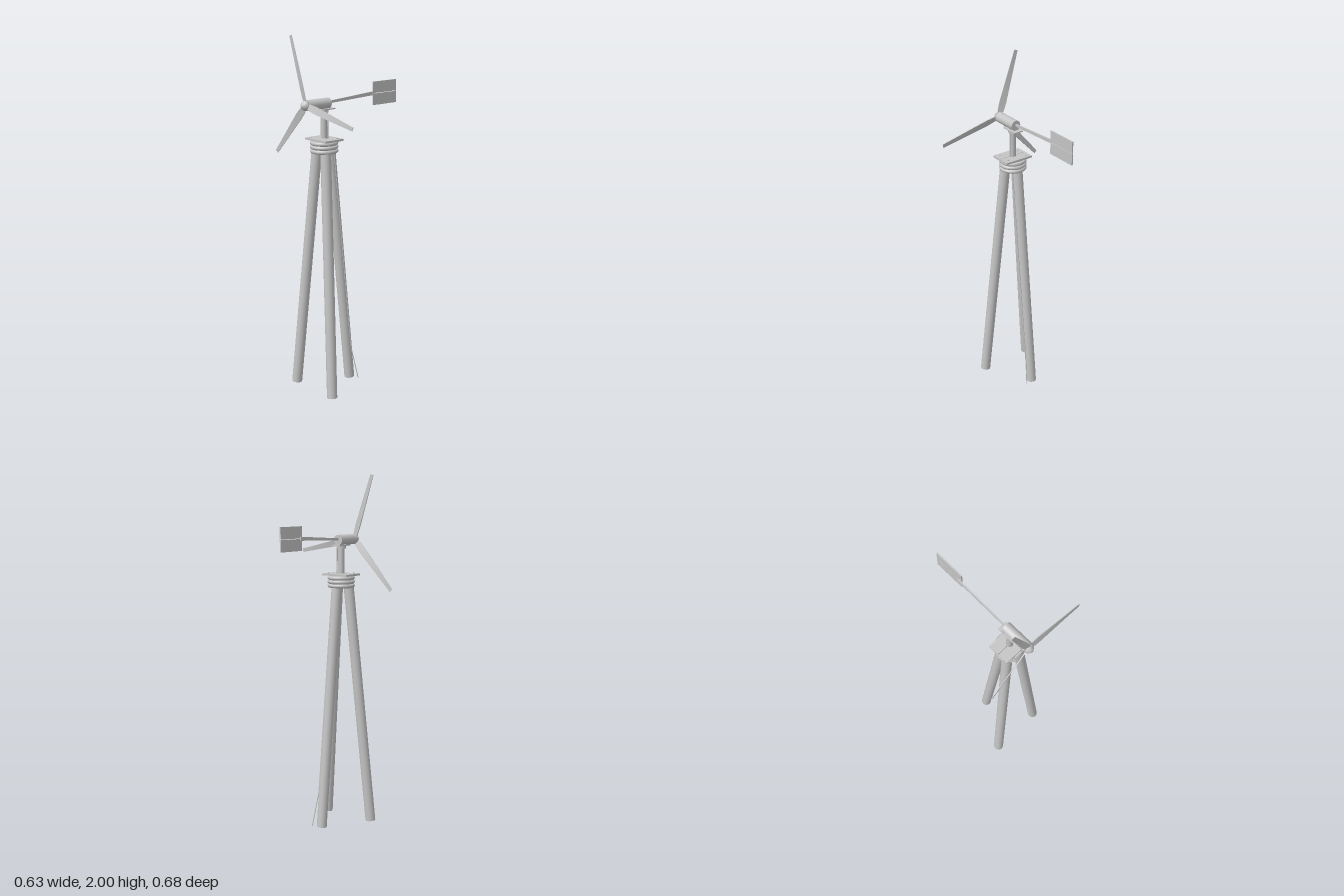
import * as THREE from 'three';

const CX = -0.057, CZ = 0.187, HUB_Y = 1.634;

export function createModel() {
  const model = new THREE.Group();
  model.name = 'windTurbine';
  const grey = new THREE.MeshStandardMaterial({ color: 0xc4c4c4 });
  grey.name = 'grey';

  const add = (name, geometry, x = 0, y = 0, z = 0, parent = model) => {
    const mesh = new THREE.Mesh(geometry, grey);
    mesh.name = name;
    mesh.position.set(x, y, z);
    parent.add(mesh);
    return mesh;
  };
  const box = (name, w, h, d, x, y, z) => add(name, new THREE.BoxGeometry(w, h, d), x, y, z);
  // Round bar between two points
  const bar = (name, a, b, rTop, rBottom = rTop, sides = 16) => {
    const dir = b.clone().sub(a);
    const mesh = add(name, new THREE.CylinderGeometry(rTop, rBottom, dir.length(), sides));
    mesh.position.copy(a).add(b).multiplyScalar(0.5);
    mesh.quaternion.setFromUnitVectors(new THREE.Vector3(0, 1, 0), dir.normalize());
    return mesh;
  };
  const V = (x, y, z) => new THREE.Vector3(x, y, z);

  // Three leaning legs
  for (const deg of [30, 150, 270]) {
    const a = THREE.MathUtils.degToRad(deg);
    const at = (r, y) => V(CX + r * Math.cos(a), y, CZ + r * Math.sin(a));
    bar('leg', at(0.179, 0.004), at(0.037, 1.432), 0.029);
  }

  // Binding rings around the leg tops
  for (const y of [1.378, 1.4, 1.422]) {
    const ring = add('bindingRing', new THREE.TorusGeometry(0.066, 0.0115, 10, 32), CX, y, CZ);
    ring.rotation.x = Math.PI / 2;
  }

  // Platform of two boards with bolts
  for (const s of [-1, 1]) {
    box('platformBoard', 0.17, 0.011, 0.063, CX + 0.001, 1.44, CZ + s * 0.0325);
    for (const t of [-1, 1]) {
      add('bolt', new THREE.CylinderGeometry(0.005, 0.005, 0.006, 6),
        CX + t * 0.06, 1.447, CZ + s * 0.04);
    }
  }

  // Mast with collar and bearing plate
  add('mast', new THREE.CylinderGeometry(0.018, 0.018, 0.175, 16), CX, 1.524, CZ);
  add('mastCollar', new THREE.CylinderGeometry(0.026, 0.026, 0.014, 16), CX, 1.594, CZ);
  box('bearingPlate', 0.058, 0.006, 0.105, CX, 1.604, 0.181);

  // Nacelle body, lying along z
  const nacelle = add('nacelle', new THREE.CylinderGeometry(0.029, 0.029, 0.155, 20), CX, HUB_Y, 0.2325);
  nacelle.rotation.x = Math.PI / 2;

  // Nose cone
  const nosePoints = [[0, 0], [0.029, 0], [0.028, 0.008], [0.02, 0.021], [0.007, 0.031], [0, 0.031]]
    .map(([r, y]) => new THREE.Vector2(r, y));
  const nose = add('noseCone', new THREE.LatheGeometry(nosePoints, 16), CX, HUB_Y, 0.31);
  nose.rotation.x = Math.PI / 2;

  // Tapered and twisted blade
  const blade = new THREE.BoxGeometry(1, 1, 1, 10, 1, 1);
  const p = blade.attributes.position;
  for (let i = 0; i < p.count; i++) {
    const t = p.getX(i) + 0.5;
    const width = t < 0.15 ? 0.026 + t * 0.1 : 0.041 - (t - 0.15) * 0.024;
    const y = p.getY(i) * width;
    const z = p.getZ(i) * (0.006 - 0.003 * t);
    const twist = -0.34 + 0.24 * t;
    p.setXYZ(i, 0.008 + t * 0.37,
      y * Math.cos(twist) - z * Math.sin(twist),
      y * Math.sin(twist) + z * Math.cos(twist));
  }
  blade.computeVertexNormals();
  const rotor = new THREE.Group();
  rotor.name = 'rotor';
  rotor.position.set(CX, HUB_Y, 0.313);
  model.add(rotor);
  for (const deg of [-12, 108, 228]) {
    add('blade', blade, 0, 0, 0, rotor).rotation.z = THREE.MathUtils.degToRad(deg);
  }

  // Tail boom, deepening toward the vane
  const boom = new THREE.BoxGeometry(0.008, 1, 0.345);
  const b = boom.attributes.position;
  for (let i = 0; i < b.count; i++) {
    const front = b.getZ(i) > 0;
    b.setY(i, b.getY(i) * (front ? 0.013 : 0.021) + (front ? 1.637 : 1.655));
  }
  boom.computeVertexNormals();
  add('tailBoom', boom, CX, 0, -0.0105);

  // Tail vane of two boards
  for (const s of [-1, 1]) {
    box('tailVaneBoard', 0.007, 0.064, 0.178, -0.048, 1.655 + s * 0.0335, -0.253);
  }

  // Cable running down the back leg, loose at the foot
  const cable = [V(-0.024, 1.42, 0.15), V(-0.024, 0.2, 0.024), V(-0.006, 0.003, -0.015)];
  for (let i = 0; i < 2; i++) bar('cable', cable[i], cable[i + 1], 0.0025, 0.0025, 6);
  bar('mastCable', V(-0.034, 1.445, 0.18), V(-0.034, 1.6, 0.18), 0.003, 0.003, 6);

  return model;
}
